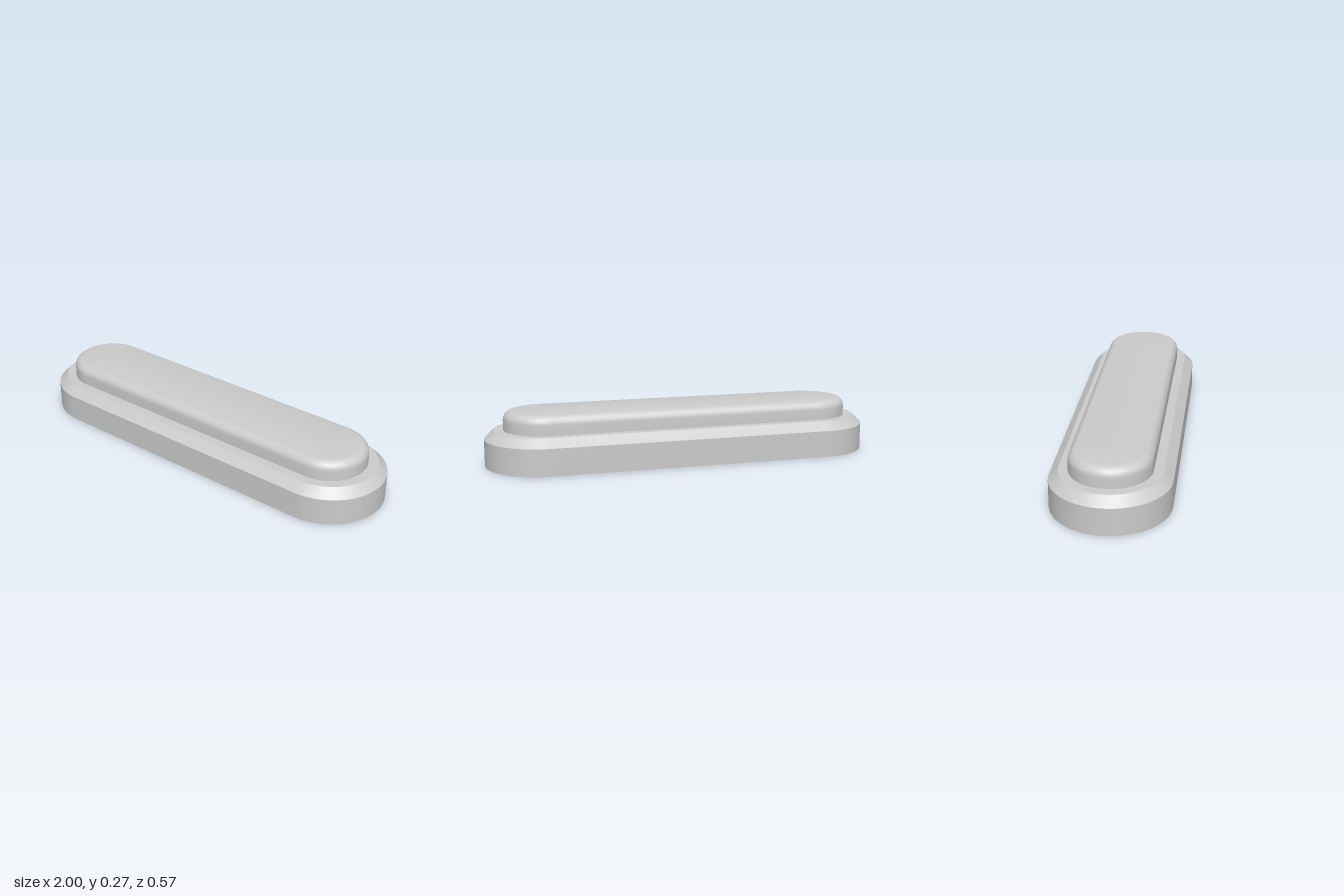
import * as THREE from 'three';
import { toCreasedNormals } from 'three/addons/utils/BufferGeometryUtils.js';

const ARC = 32; // segments per rounded end

// Sweeps a [radius, height] profile (bottom to top) around a pill-shaped outline.
function pillGeometry(profile, halfStraight) {
  const position = [], index = [];
  const count = 2 * (ARC + 1);
  for (const [r, y] of profile) {
    for (const side of [1, -1]) {
      for (let i = 0; i <= ARC; i++) {
        const a = -Math.PI / 2 + (Math.PI * i) / ARC;
        position.push(side * (halfStraight + r * Math.cos(a)), y, side * r * Math.sin(a));
      }
    }
  }
  for (let j = 0; j < profile.length - 1; j++) {
    for (let i = 0; i < count; i++) {
      const next = (i + 1) % count;
      const straight = i % (ARC + 1) === ARC;
      const a = j * count + i, b = j * count + next;
      const c = a + count, d = b + count;
      // rings of zero radius collapse to a line, so skip their empty triangles
      if (straight || profile[j][0] > 0) index.push(a, c, b);
      if (straight || profile[j + 1][0] > 0) index.push(b, c, d);
    }
  }
  const geometry = new THREE.BufferGeometry();
  geometry.setAttribute('position', new THREE.Float32BufferAttribute(position, 3));
  geometry.setIndex(index);
  return toCreasedNormals(geometry, 0.5);
}

export function createModel() {
  const group = new THREE.Group();
  const material = new THREE.MeshStandardMaterial({ color: 0xcccccc });
  const add = (name, geometry) => {
    const mesh = new THREE.Mesh(geometry, material);
    mesh.name = name;
    group.add(mesh);
  };

  // Base plate with a chamfered upper edge
  add('base', pillGeometry([[0, 0], [0.285, 0], [0.285, 0.135], [0.24, 0.178], [0, 0.178]], 0.715));

  // Raised pad with a rounded upper edge
  const fillet = 0.045, radius = 0.195, top = 0.273;
  const pad = [[radius, 0.178]];
  for (let i = 0; i <= 8; i++) {
    const a = (Math.PI / 2) * (i / 8);
    pad.push([radius - fillet + fillet * Math.cos(a), top - fillet + fillet * Math.sin(a)]);
  }
  pad.push([0, top]);
  add('raisedPad', pillGeometry(pad, 0.71));

  return group;
}
